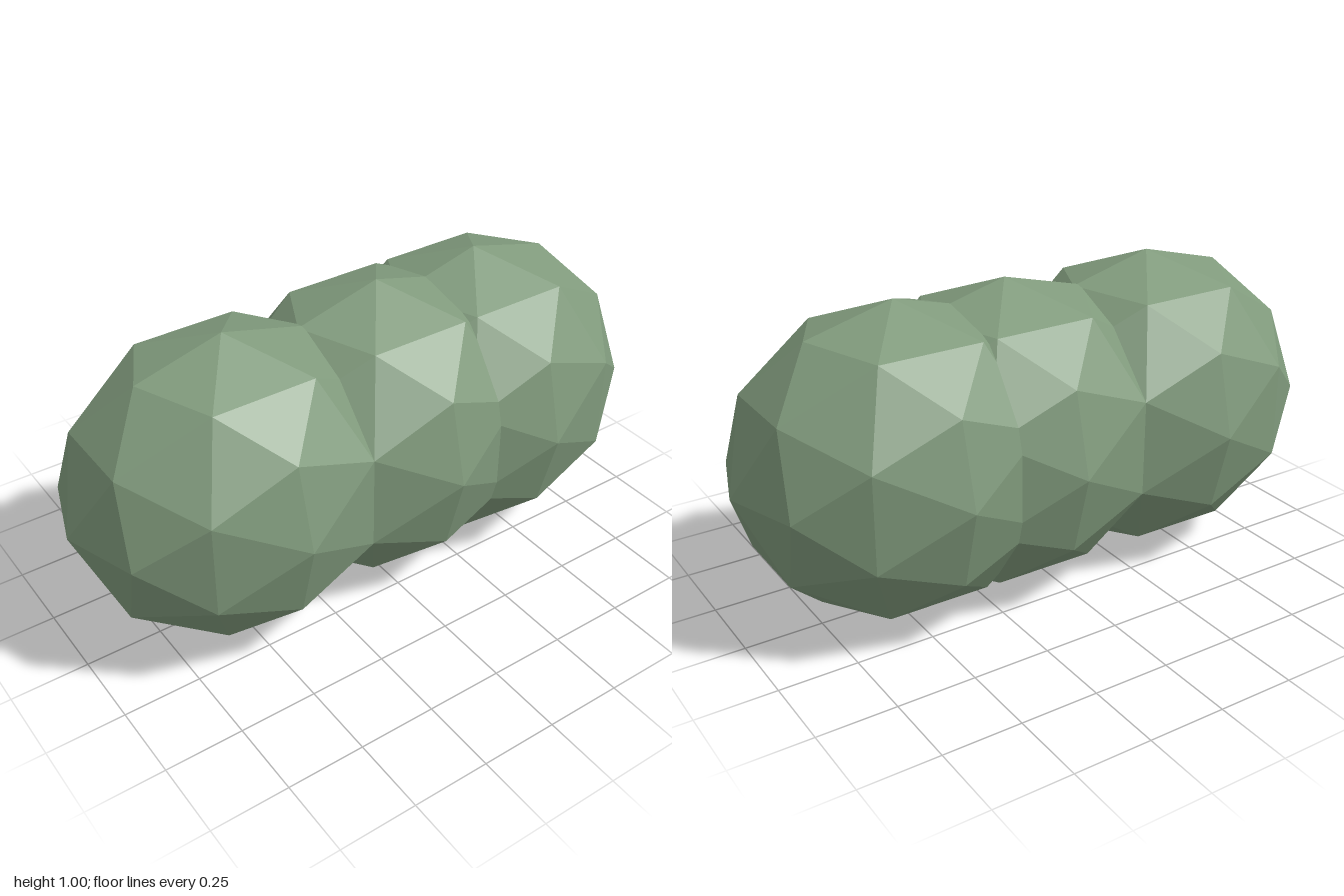
import * as THREE from 'three';

export function createModel() {
  const group = new THREE.Group();
  group.name = 'bush';
  const leafGreen = new THREE.MeshStandardMaterial({ color: 0x809a7c, flatShading: true });
  leafGreen.name = 'leafGreen';

  // Three overlapping faceted clumps in a row, all the same stretched ball
  const clump = new THREE.IcosahedronGeometry(1, 1);
  clump.scale(0.54, 0.499, 0.458);

  const clumps = [['rightClump', -0.46], ['middleClump', 0.08], ['leftClump', 0.46]];
  for (const [name, x] of clumps) {
    const mesh = new THREE.Mesh(clump, leafGreen);
    mesh.name = name;
    mesh.position.set(x, 0.5, 0);
    group.add(mesh);
  }
  return group;
}
